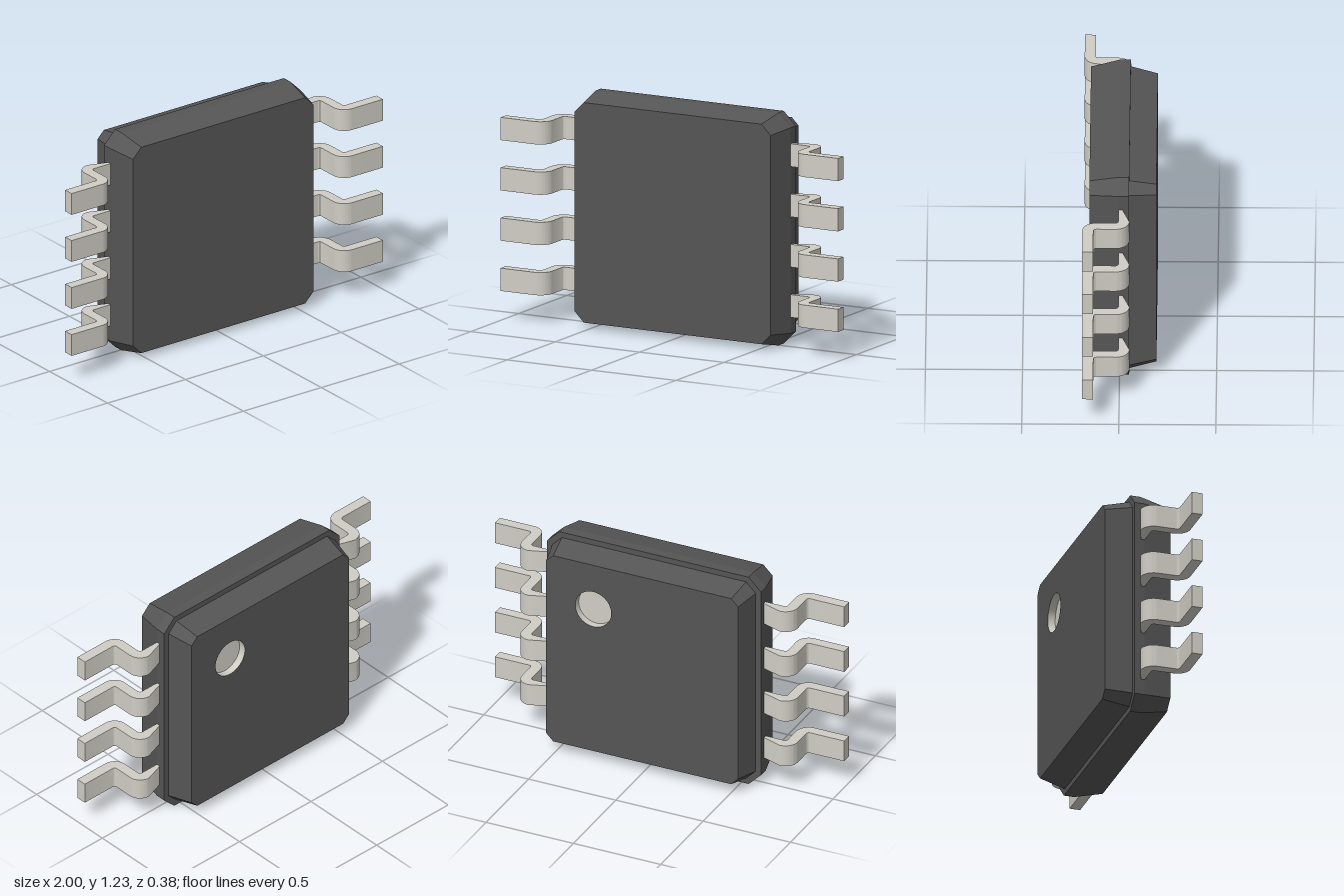
import * as THREE from 'three';
import { toCreasedNormals } from 'three/addons/utils/BufferGeometryUtils.js';

const CENTER_Y = 0.613;
const DOT = { x: 0.28, y: 0.29, r: 0.103, depth: 0.04 };
const BACK = { z: -0.19, half: 0.55, chamfer: 0.04 };

const darkMaterial = new THREE.MeshStandardMaterial({ color: 0x555555 });
const metalMaterial = new THREE.MeshStandardMaterial({ color: 0xcfcdc4 });

function named(name, geometry, material) {
  const mesh = new THREE.Mesh(geometry, material);
  mesh.name = name;
  return mesh;
}

// Square with cut corners, anticlockwise seen from +z
function octagon(h, c) {
  const k = h - c;
  return [[h, -k], [h, k], [k, h], [-k, h], [-h, k], [-h, -k], [-k, -h], [k, -h]]
    .map(([x, y]) => new THREE.Vector2(x, y));
}

// Flat-faced shell through cut-corner sections, listed from front to back
function loft(sections) {
  const rings = sections.map(([z, half, chamfer]) =>
    octagon(half, chamfer).map(p => [p.x, p.y, z]));
  const pos = [];
  for (let s = 0; s < rings.length - 1; s++) {
    for (let i = 0; i < 8; i++) {
      const j = (i + 1) % 8;
      const a = rings[s][i], b = rings[s][j], c = rings[s + 1][i], d = rings[s + 1][j];
      pos.push(...a, ...c, ...d, ...a, ...d, ...b);
    }
  }
  const geometry = new THREE.BufferGeometry();
  geometry.setAttribute('position', new THREE.Float32BufferAttribute(pos, 3));
  geometry.computeVertexNormals();
  return geometry;
}

function createBody() {
  const body = new THREE.Group();
  body.name = 'body';

  // Wider front half with a straight rim, then the stepped-in back half
  body.add(named('bodyShell', loft([
    [0.155, 0.58, 0.054],
    [0.005, 0.613, 0.071],
    [-0.05, 0.613, 0.071],
    [-0.05, 0.582, 0.055],
    [BACK.z, BACK.half, BACK.chamfer],
  ]), darkMaterial));

  const front = new THREE.ShapeGeometry(new THREE.Shape(octagon(0.58, 0.054)));
  body.add(named('frontFace', front.translate(0, 0, 0.155), darkMaterial));

  // Back face, pierced for the marker dimple
  const backShape = new THREE.Shape(octagon(BACK.half, BACK.chamfer));
  const hole = new THREE.Path();
  hole.absarc(-DOT.x, DOT.y, DOT.r, 0, Math.PI * 2, true);
  backShape.holes.push(hole);
  const back = new THREE.ShapeGeometry(backShape, 24);
  back.rotateY(Math.PI).translate(0, 0, BACK.z);
  body.add(named('backFace', back, darkMaterial));

  // Marker dimple: wall and floor
  const wallMaterial = metalMaterial.clone();
  wallMaterial.side = THREE.DoubleSide;
  const wall = new THREE.CylinderGeometry(DOT.r, DOT.r, DOT.depth, 48, 1, true);
  wall.rotateX(Math.PI / 2).translate(DOT.x, DOT.y, BACK.z + DOT.depth / 2);
  body.add(named('dimpleWall', wall, wallMaterial));
  const floor = new THREE.CircleGeometry(DOT.r, 48);
  floor.rotateY(Math.PI).translate(DOT.x, DOT.y, BACK.z + DOT.depth);
  body.add(named('dimpleFloor', floor, metalMaterial));

  body.position.y = CENTER_Y;
  return body;
}

// S-bent lead: outline drawn in x and z, extruded along y
function leadGeometry() {
  const width = 0.12, inner = 0.733, outer = 0.79;
  const zBack = -0.052, zFoot = 0.19, t = 0.057, R = 0.07, r = 0.015;
  const q = Math.PI / 2;
  const s = new THREE.Shape();
  s.moveTo(0.55, zBack);
  s.absarc(outer - R, zBack + R, R, -q, 0, false);
  s.absarc(outer + r, zFoot - t - r, r, Math.PI, q, true);
  s.lineTo(1, zFoot - t);
  s.lineTo(1, zFoot);
  s.absarc(inner + R, zFoot - R, R, q, Math.PI, false);
  s.absarc(inner - r, zBack + t + r, r, 0, -q, true);
  s.lineTo(0.55, zBack + t);
  s.closePath();
  const geometry = new THREE.ExtrudeGeometry(s, { depth: width, bevelEnabled: false, curveSegments: 8 });
  geometry.translate(0, 0, -width / 2).rotateX(Math.PI / 2);
  return toCreasedNormals(geometry, 0.6);
}

export function createModel() {
  const model = new THREE.Group();
  model.name = 'chip';
  model.add(createBody());

  // Four leads on each side
  const geometry = leadGeometry();
  for (const side of ['left', 'right']) {
    for (let i = 0; i < 4; i++) {
      const lead = named(`${side}Lead${i + 1}`, geometry, metalMaterial);
      lead.position.y = CENTER_Y + (i - 1.5) * 0.265;
      if (side === 'right') lead.rotation.z = Math.PI;
      model.add(lead);
    }
  }
  return model;
}
